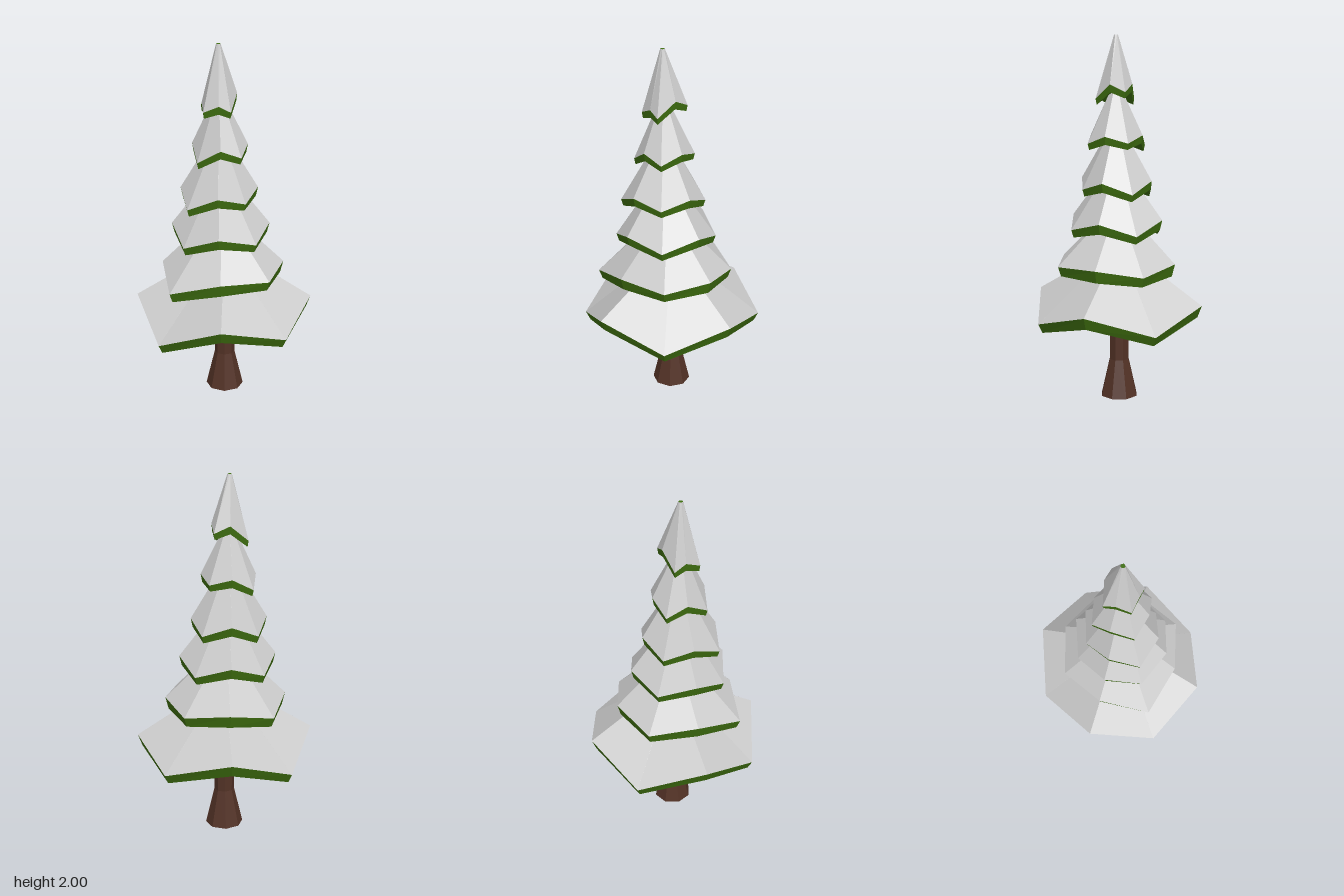
import * as THREE from 'three';

const paint = (color) => new THREE.MeshStandardMaterial({ color, flatShading: true });

// Builds a flat-faced mesh from a list of triangles (each three Vector3)
function facetMesh(name, triangles, material) {
  const geometry = new THREE.BufferGeometry().setFromPoints(triangles.flat());
  geometry.computeVertexNormals();
  const mesh = new THREE.Mesh(geometry, material);
  mesh.name = name;
  return mesh;
}

// Each tier: four drooping tips as [reach, height], raised diagonal corners,
// and the apex of the snow cone, which hides inside the tier above
const TIERS = [
  { east: [0.495, 0.46], south: [0.475, 0.455], west: [-0.495, 0.42], north: [-0.475, 0.43],
    midX: 0, diagonal: [0.345, -0.355, 0.34], raised: [0.56, 0.57], apex: [0, 0.87], drop: 0.05 },
  { east: [0.335, 0.74], south: [0.355, 0.76], west: [-0.41, 0.70], north: [-0.34, 0.72],
    midX: -0.01, diagonal: [0.23, -0.255, 0.232], raised: [0.775, 0.775], apex: [-0.02, 1.1], drop: 0.052 },
  { east: [0.245, 0.945], south: [0.27, 0.955], west: [-0.305, 0.935], north: [-0.258, 0.94],
    midX: -0.028, diagonal: [0.163, -0.222, 0.185], raised: [1.01, 1.01], apex: [-0.035, 1.35], drop: 0.042 },
  { east: [0.185, 1.16], south: [0.2, 1.172], west: [-0.275, 1.146], north: [-0.207, 1.15],
    midX: -0.038, diagonal: [0.11, -0.19, 0.145], raised: [1.22, 1.22], apex: [-0.04, 1.56], drop: 0.038 },
  { east: [0.125, 1.43], south: [0.168, 1.42], west: [-0.2, 1.39], north: [-0.17, 1.4],
    midX: -0.04, diagonal: [0.065, -0.135, 0.11], raised: [1.465, 1.465], apex: [-0.042, 1.77], drop: 0.034 },
  { east: [0.085, 1.7], south: [0.112, 1.66], west: [-0.155, 1.655], north: [-0.115, 1.655],
    midX: -0.063, diagonal: [0.028, -0.105, 0.065], raised: [1.74, 1.69], apex: [-0.045, 2], drop: 0.033 },
];

function makeTier(t, index, snow, needles) {
  const v = (x, y, z) => new THREE.Vector3(x, y, z);
  const [right, left, depth] = t.diagonal;
  const [highRight, highLeft] = t.raised;
  const rim = [
    v(t.east[0], t.east[1], 0), v(right, highRight, depth),
    v(t.midX, t.south[1], t.south[0]), v(left, highLeft, depth),
    v(t.west[0], t.west[1], 0), v(left, highLeft, -depth),
    v(t.midX, t.north[1], t.north[0]), v(right, highRight, -depth),
  ];
  const axisX = t.apex[0];
  // The lower rim is tucked in a little and thicker at the raised corners
  const lower = rim.map((p, i) => {
    const drop = t.drop * (i % 2 ? 1.3 : 1);
    return v(axisX + (p.x - axisX) * 0.95, p.y - drop, p.z * 0.95);
  });
  const isTop = index === TIERS.length - 1;
  const tipRadius = isTop ? 0.012 : 0.002;
  const tip = rim.map((p, i) => {
    const a = (i * Math.PI) / 4;
    return v(axisX + tipRadius * Math.cos(a), t.apex[1], tipRadius * Math.sin(a));
  });
  const tipCentre = v(axisX, t.apex[1], 0);
  const underCentre = v(axisX, highRight - t.drop, 0);

  const snowFaces = [], needleFaces = [];
  for (let i = 0; i < 8; i++) {
    const j = (i + 1) % 8;
    snowFaces.push([tip[i], rim[j], rim[i]], [tip[i], tip[j], rim[j]]);
    needleFaces.push([rim[i], rim[j], lower[j]], [rim[i], lower[j], lower[i]]);
    needleFaces.push([underCentre, lower[i], lower[j]]);
    if (isTop) needleFaces.push([tipCentre, tip[j], tip[i]]);
  }
  const tier = new THREE.Group();
  tier.name = `branchTier${index + 1}`;
  tier.add(facetMesh('snowCover', snowFaces, snow), facetMesh('needles', needleFaces, needles));
  return tier;
}

export function createModel() {
  const tree = new THREE.Group();
  tree.name = 'snowyPineTree';

  // Flared eight-sided trunk
  const profile = [[0, 0], [0.105, 0], [0.056, 0.21], [0.056, 0.56]].map(([r, y]) => new THREE.Vector2(r, y));
  const trunk = new THREE.Mesh(new THREE.LatheGeometry(profile, 8), paint(0x533226));
  trunk.name = 'trunk';
  tree.add(trunk);

  // Snow-covered branch tiers
  const snow = paint(0xcccccc);
  const needles = paint(0x3f6f10);
  TIERS.forEach((t, i) => tree.add(makeTier(t, i, snow, needles)));
  return tree;
}
